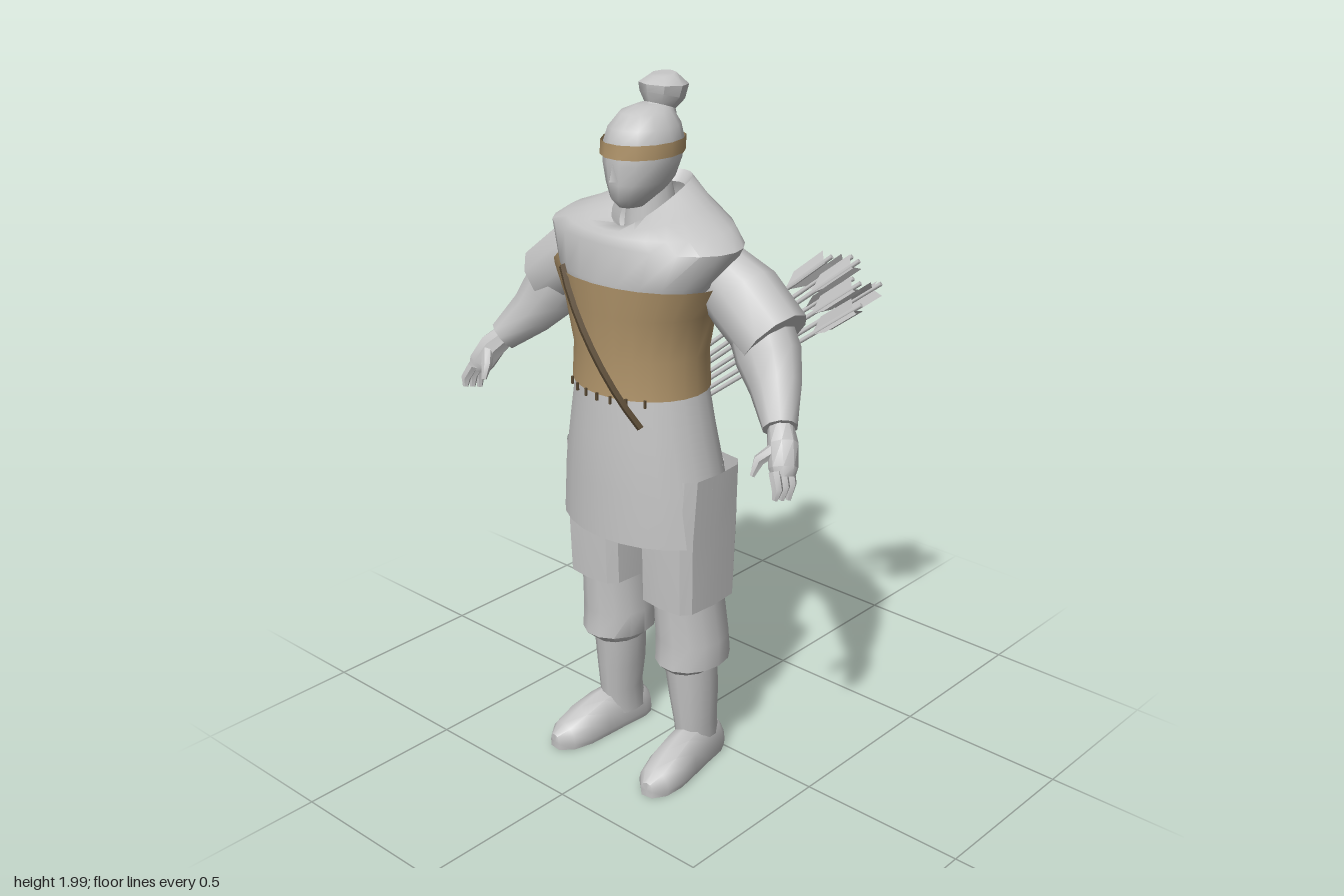
import * as THREE from 'three';
import { toCreasedNormals } from 'three/addons/utils/BufferGeometryUtils.js';

const V = (x, y, z) => new THREE.Vector3(x, y, z);
const mat = (name, color, side = THREE.DoubleSide) =>
  Object.assign(new THREE.MeshStandardMaterial({ color, side }), { name });

// Skin a list of equal-length point rings; skip(i, j) leaves openings
function loft(rings, { caps = false, crease = 0.75, skip = () => false } = {}) {
  const n = rings[0].length, pos = [], idx = [];
  rings.forEach(r => r.forEach(p => pos.push(p.x, p.y, p.z)));
  for (let i = 0; i < rings.length - 1; i++) {
    for (let j = 0; j < n; j++) {
      if (skip(i, j)) continue;
      const a = i * n + j, b = i * n + (j + 1) % n;
      idx.push(a, b, b + n, a, b + n, a + n);
    }
  }
  if (caps) {
    [rings[0], rings[rings.length - 1]].forEach((r, k) => {
      const c = r.reduce((s, p) => s.add(p), V(0, 0, 0)).divideScalar(n);
      const ci = pos.length / 3, o = k * (rings.length - 1) * n;
      pos.push(c.x, c.y, c.z);
      for (let j = 0; j < n; j++) {
        const a = o + j, b = o + (j + 1) % n;
        k ? idx.push(ci, a, b) : idx.push(ci, b, a);
      }
    });
  }
  const g = new THREE.BufferGeometry();
  g.setAttribute('position', new THREE.Float32BufferAttribute(pos, 3));
  g.setIndex(idx);
  return toCreasedNormals(g, crease);
}

const sgnPow = (v, e) => Math.sign(v) * Math.abs(v) ** e;

// Level ring: height, half width, back z, front z; frontDrop lowers the front edge
function ring(y, hw, zb, zf, { n = 20, cx = 0, e = 1, frontDrop = 0 } = {}) {
  return Array.from({ length: n }, (_, j) => {
    const a = j / n * Math.PI * 2, s = -sgnPow(Math.sin(a), e);
    const t = (s + 1) / 2;
    return V(cx + hw * sgnPow(Math.cos(a), e), y - frontDrop * t * t, zb + (zf - zb) * t);
  });
}
const stack = (rows, opt = {}, ropt = {}) =>
  loft(rows.map(([y, hw, zb, zf, cx = 0, frontDrop = 0]) => ring(y, hw, zb, zf, { cx, frontDrop, ...ropt })), opt);

// Tapered limb through [x, y, z, radius]; flat squashes it along z
function limb(rows, side = 1, { n = 10, flat = 1, caps = true, crease = 0.75 } = {}) {
  const pts = rows.map(r => V(r[0] * side, r[1], r[2]));
  return loft(pts.map((p, i) => {
    const t = pts[Math.min(i + 1, pts.length - 1)].clone().sub(pts[Math.max(i - 1, 0)]).normalize();
    const u = V(0, 0, 1).cross(t).normalize(), w = t.clone().cross(u);
    return Array.from({ length: n }, (_, j) => {
      const a = j / n * Math.PI * 2, r = rows[i][3];
      return p.clone().addScaledVector(u, r * Math.cos(a)).addScaledVector(w, r * flat * Math.sin(a));
    });
  }), { caps, crease });
}

export function createModel() {
  const root = new THREE.Group();
  root.name = 'archer';
  const grey = mat('grey cloth', 0xc4c4c4);
  const tan = mat('tan leather', 0xb0946a);
  const dark = mat('dark strap', 0x5c4c36);
  const add = (name, geo, m = grey, parent = root) => {
    const mesh = new THREE.Mesh(geo, m);
    mesh.name = name;
    parent.add(mesh);
    return mesh;
  };

  // Head, face and tied hair
  add('head', stack([
    [1.665, 0.03, 0.13, 0.225], [1.69, 0.052, 0.08, 0.25], [1.73, 0.077, 0.045, 0.254],
    [1.78, 0.094, 0.028, 0.256], [1.83, 0.098, 0.022, 0.252], [1.87, 0.087, 0.03, 0.238],
    [1.905, 0.062, 0.05, 0.205], [1.92, 0.03, 0.06, 0.16],
  ], { caps: true, crease: 1.2 }, { n: 14 }));
  const nose = add('nose', new THREE.ConeGeometry(0.016, 0.05, 4));
  nose.position.set(0, 1.765, 0.252);
  add('neck', stack([[1.58, 0.075, 0.02, 0.19], [1.71, 0.055, 0.05, 0.18]], {}, { n: 12 }));
  add('headband', stack([[1.8, 0.102, 0.017, 0.263], [1.838, 0.102, 0.017, 0.26]], {}, { n: 14 }), tan);
  add('topknot', limb([
    [0, 1.88, 0.085, 0.055], [0, 1.91, 0.075, 0.042], [0, 1.935, 0.066, 0.06],
    [0, 1.965, 0.06, 0.066], [0, 1.99, 0.062, 0.035],
  ], 1, { n: 8 }));

  // Robe body with a raised collar, low at the front
  add('robe', stack([
    [0.92, 0.17, 0.02, 0.28], [1.18, 0.19, 0.0, 0.308], [1.3, 0.187, 0.0, 0.3], [1.46, 0.23, -0.01, 0.318],
    [1.49, 0.262, -0.025, 0.322], [1.585, 0.308, -0.045, 0.305], [1.625, 0.255, -0.058, 0.3, 0, 0.015],
    [1.67, 0.16, -0.045, 0.285, 0, 0.05], [1.72, 0.085, -0.022, 0.235, 0, 0.1],
    [1.69, 0.07, 0.0, 0.21, 0, 0.09],
  ], { crease: 0.9 }, { n: 24 }));
  // Skirt, slit on both sides
  add('skirt', stack([
    [0.755, 0.27, -0.072, 0.33], [0.91, 0.25, -0.045, 0.33], [1.05, 0.222, -0.025, 0.326], [1.185, 0.198, -0.008, 0.316],
  ], { skip: (i, j) => i === 0 && (j < 2 || j > 21 || (j > 9 && j < 14)) }, { n: 24 }));

  // Corset, its bottom ties and the chest strap
  add('corset', stack([
    [1.175, 0.205, -0.016, 0.324], [1.28, 0.2, -0.012, 0.318], [1.4, 0.226, -0.02, 0.33], [1.487, 0.275, -0.034, 0.336],
  ], {}, { n: 24 }), tan);
  for (let k = -3; k <= 3; k++) {
    const x = k * 0.045;
    const tie = add('corsetTie', new THREE.BoxGeometry(0.006, 0.022, 0.006), dark);
    tie.position.set(x, 1.17, 0.154 + 0.174 * Math.sqrt(1 - (x / 0.205) ** 2));
  }
  add('chestStrap', limb(Array.from({ length: 9 }, (_, k) => {
    const x = -0.14 + 0.035 * k;
    return [x, 1.5 - 0.39 * k / 8, 0.165 + 0.178 * Math.sqrt(1 - (x / 0.235) ** 2), 0.014];
  }), 1, { n: 4, flat: 0.4, crease: 0.4 }), dark);

  for (const s of [1, -1]) {
    // Arm: wide upper sleeve, narrower forearm, hand
    const arm = new THREE.Group();
    arm.name = s > 0 ? 'leftArm' : 'rightArm';
    root.add(arm);
    add('upperSleeve', limb([
      [0.2, 1.51, 0.08, 0.085], [0.3, 1.45, 0.08, 0.104], [0.41, 1.365, 0.087, 0.1], [0.4, 1.372, 0.087, 0.075],
    ].slice(0, 3), s), grey, arm);
    add('forearmSleeve', limb([
      [0.35, 1.4, 0.085, 0.085], [0.4, 1.32, 0.1, 0.088], [0.45, 1.255, 0.13, 0.07],
      [0.515, 1.18, 0.19, 0.046],
    ], s), grey, arm);
    add('palm', limb([
      [0.505, 1.19, 0.18, 0.033], [0.54, 1.15, 0.21, 0.04], [0.563, 1.1, 0.235, 0.038], [0.57, 1.08, 0.242, 0.03],
    ], s, { n: 8 }), grey, arm);
    for (let f = 0; f < 3; f++) {
      const z = 0.215 + f * 0.027;
      add('finger', limb([
        [0.563, 1.1, z, 0.016], [0.583, 1.06, z + 0.012, 0.015], [0.58, 1.018 + f * 0.008, z + 0.018, 0.008],
      ], s, { n: 6 }), grey, arm);
    }
    add('thumb', limb([
      [0.54, 1.15, 0.23, 0.018], [0.508, 1.115, 0.265, 0.016], [0.502, 1.075, 0.283, 0.007],
    ], s, { n: 6 }), grey, arm);

    // Leg: square thigh panels over gathered trousers and a tall boot
    const leg = new THREE.Group();
    leg.name = s > 0 ? 'leftLeg' : 'rightLeg';
    root.add(leg);
    const col = rows => rows.map(([y, hw, zb, zf, cx]) => [y, hw, zb, zf, cx * s]);
    add('thighPanel', stack(col([
      [0.545, 0.098, 0.0, 0.24, 0.14], [0.76, 0.1, -0.008, 0.245, 0.143], [0.95, 0.104, 0.0, 0.235, 0.15],
    ]), { crease: 0.5 }, { n: 12, e: 0.5 }), grey, leg);
    add('trouser', stack(col([
      [0.32, 0.07, 0.025, 0.195, 0.14], [0.345, 0.1, -0.012, 0.222, 0.145], [0.42, 0.102, -0.002, 0.215, 0.144],
      [0.58, 0.09, 0.012, 0.228, 0.14], [0.95, 0.09, 0.012, 0.22, 0.14],
    ]), { caps: true }, { n: 14 }), grey, leg);
    add('bootShaft', stack(col([
      [0.05, 0.05, 0.012, 0.16, 0.148], [0.13, 0.053, 0.025, 0.17, 0.15], [0.22, 0.063, 0.02, 0.18, 0.145],
      [0.34, 0.072, 0.025, 0.192, 0.14],
    ]), { crease: 1 }, { n: 14 }), grey, leg);
    // Foot sections run heel to toe, flat underneath and turned out
    const foot = add('foot', loft([
      [0.0, 0.035, 0.08], [0.03, 0.048, 0.12], [0.11, 0.052, 0.135], [0.18, 0.058, 0.125],
      [0.25, 0.063, 0.1], [0.31, 0.052, 0.07], [0.345, 0.02, 0.045],
    ].map(([z, hw, h]) => Array.from({ length: 12 }, (_, j) => {
      const a = j / 12 * Math.PI * 2, sn = Math.sin(a);
      return V(hw * sgnPow(Math.cos(a), 0.8), sn < -0.1 ? 0 : 0.02 + (h - 0.02) * Math.max(sn, 0), z);
    })), { caps: true, crease: 0.9 }), grey, leg);
    foot.position.set(0.145 * s, 0, 0.004);
    foot.rotation.y = 0.12 * s;
  }

  // Woven back pad with a dark rim
  const padShape = (w, h, c) => {
    const p = new THREE.Shape();
    p.moveTo(-w + c, -h).lineTo(w - c, -h).quadraticCurveTo(w, -h, w, -h + c).lineTo(w, h - c)
      .quadraticCurveTo(w, h, w - c, h).lineTo(-w + c, h).quadraticCurveTo(-w, h, -w, h - c)
      .lineTo(-w, -h + c).quadraticCurveTo(-w, -h, -w + c, -h);
    return p;
  };
  const slab = (w, h, c, depth) =>
    new THREE.ExtrudeGeometry(padShape(w, h, c), { depth, bevelEnabled: false, curveSegments: 4 }).translate(0, 0, -depth / 2);
  const pad = new THREE.Group();
  pad.name = 'backPad';
  pad.position.set(-0.205, 1.37, -0.065);
  root.add(pad);
  add('padFace', slab(0.1, 0.165, 0.055, 0.018), tan, pad);
  const rim = padShape(0.106, 0.171, 0.057);
  rim.holes.push(padShape(0.097, 0.162, 0.053));
  add('padRim', new THREE.ExtrudeGeometry(rim, { depth: 0.012, bevelEnabled: false, curveSegments: 4 })
    .translate(0, 0, -0.006), dark, pad);

  // Quiver slung across the lower back; local y runs along the arrows
  const quiver = new THREE.Group();
  quiver.name = 'quiver';
  root.add(quiver);
  const d = V(0.66, 0.57, -0.31).normalize();
  const v = V(-0.62, 0.78, 0.05);
  v.addScaledVector(d, -v.dot(d)).normalize();
  quiver.quaternion.setFromRotationMatrix(new THREE.Matrix4().makeBasis(v, d, v.clone().cross(d)));
  quiver.position.set(-0.285, 0.87, -0.01);
  add('quiverCase', stack([
    [0.27, 0.07, -0.025, 0.025], [0.0, 0.07, -0.028, 0.028], [0.27, 0.085, -0.034, 0.034],
  ].slice(1), {}, { n: 12, e: 0.7 }), grey, quiver);
  add('quiverBase', stack([[0, 0.07, -0.028, 0.028], [0.01, 0.07, -0.028, 0.028]],
    { caps: true }, { n: 12, e: 0.7 }), grey, quiver);
  for (let k = 0; k < 7; k++) {
    const arrow = new THREE.Group(), o = (k - 3) / 3, len = 0.79 + 0.03 * ((k * 2) % 3);
    arrow.name = 'arrow';
    arrow.position.set(o * 0.05, 0.1, k % 2 ? 0.012 : -0.012);
    arrow.rotation.set(k % 2 ? 0.02 : -0.02, 0, -o * 0.035);
    quiver.add(arrow);
    add('shaft', new THREE.CylinderGeometry(0.007, 0.007, len, 6).translate(0, len / 2, 0), grey, arrow);
    // Three swept feathers per arrow
    const feather = new THREE.Shape([[0, -0.17], [0.03, -0.12], [0.03, -0.015], [0, -0.03]]
      .map(([x, y]) => new THREE.Vector2(x, y + len)));
    for (let f = 0; f < 3; f++) {
      add('feather', new THREE.ShapeGeometry(feather), grey, arrow).rotation.y = f * Math.PI * 2 / 3 + k;
    }
  }
  return root;
}
